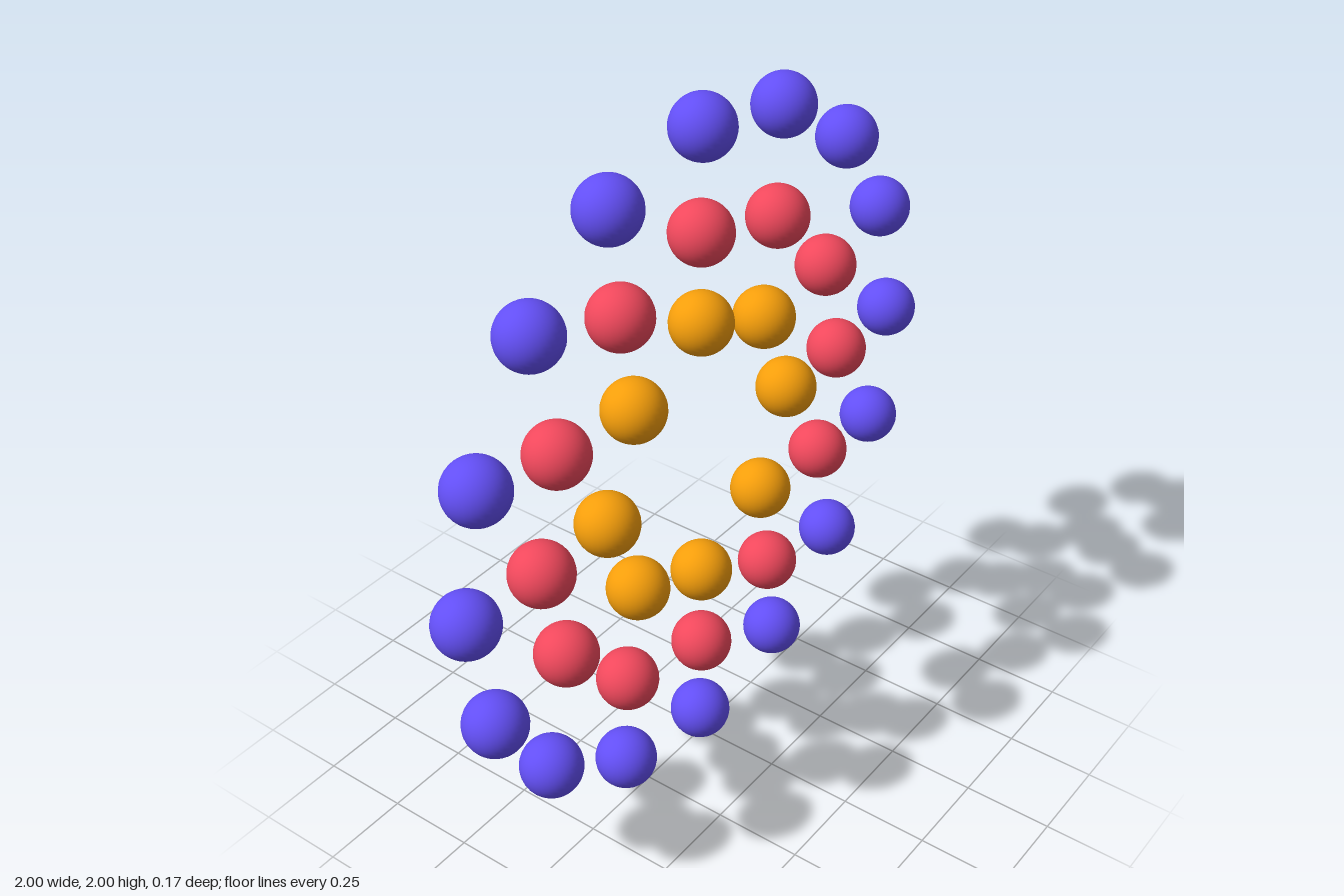
import * as THREE from 'three';

const ballGeometry = new THREE.SphereGeometry(0.085, 32, 24);

// One ring of balls: the seed offsets from the centre are repeated by turning clockwise.
function ring(name, color, centerY, seeds, turns) {
  const group = new THREE.Group();
  group.name = name;
  group.position.y = centerY;
  const material = new THREE.MeshStandardMaterial({ color });
  for (let t = 0; t < turns; t++) {
    const a = (-t * 2 * Math.PI) / turns;
    for (const [x, y] of seeds) {
      const ball = new THREE.Mesh(ballGeometry, material);
      ball.name = name + 'Ball';
      ball.position.set(x * Math.cos(a) - y * Math.sin(a), x * Math.sin(a) + y * Math.cos(a), 0);
      group.add(ball);
    }
  }
  return group;
}

export function createModel() {
  const model = new THREE.Group();
  model.name = 'ballRings';

  // Inner ring: 8 evenly spaced balls
  model.add(ring('innerRing', 0xf59e0b, 0.989, [[0, 0.394]], 8));

  // Middle ring: 12 balls, slightly uneven, with half-turn symmetry
  model.add(ring('middleRing', 0xf0485c, 0.99, [
    [0, 0.649], [0.332, 0.555], [0.572, 0.303],
    [0.647, -0.001], [0.57, -0.308], [0.321, -0.562],
  ], 2));

  // Outer ring: 16 balls, slightly uneven, with quarter-turn symmetry
  model.add(ring('outerRing', 0x634ff5, 1.005, [
    [0.006, 0.914], [0.348, 0.846], [0.652, 0.642], [0.845, 0.354],
  ], 4));

  return model;
}
